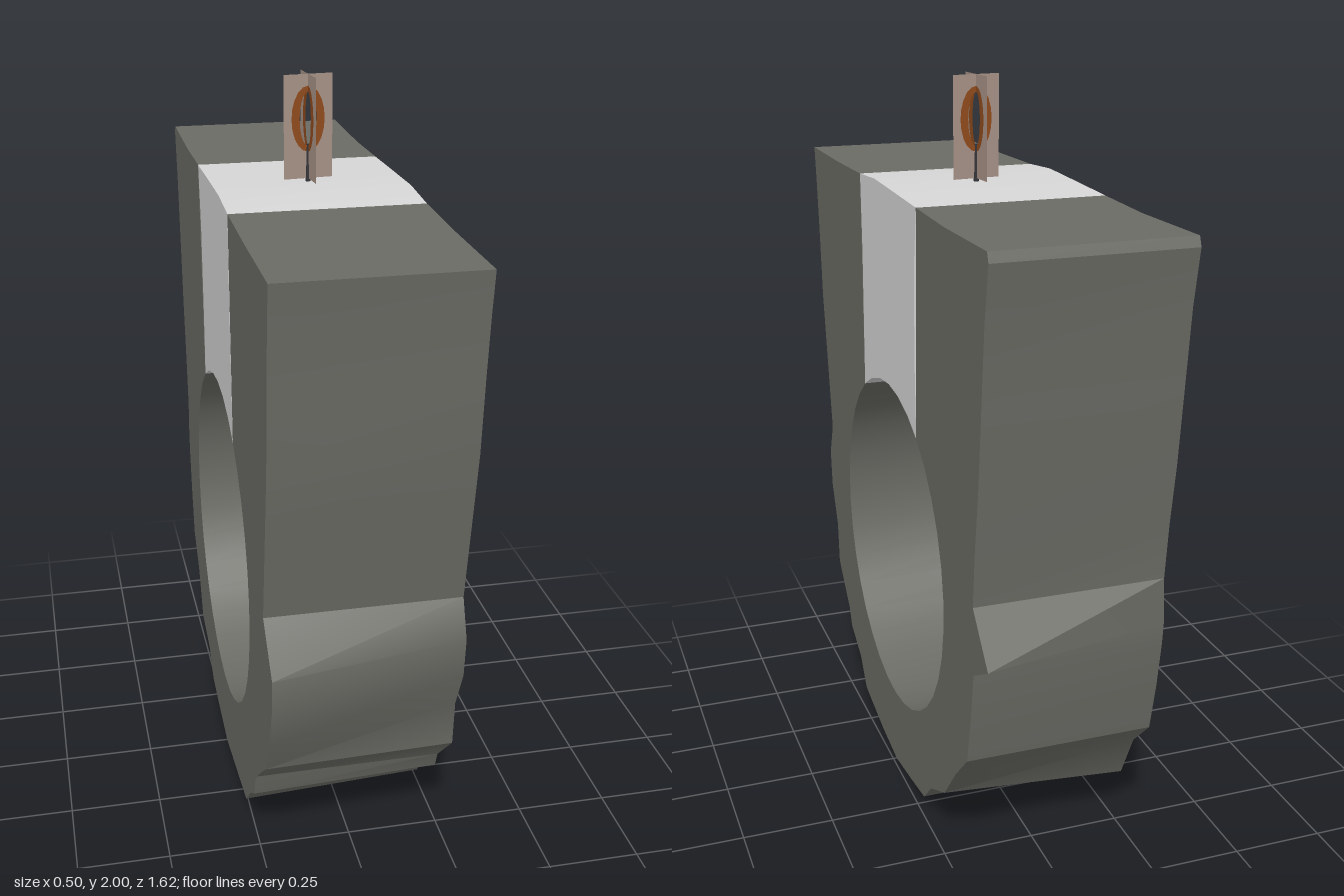
import * as THREE from 'three';
import { toCreasedNormals } from 'three/addons/utils/BufferGeometryUtils.js';

const stone = new THREE.MeshStandardMaterial({ color: 0x6b6b65 });
stone.name = 'dark stone';
const inlayMat = new THREE.MeshStandardMaterial({ color: 0xd6d6d6 });
inlayMat.name = 'pale stone';
const glow = new THREE.MeshStandardMaterial({ color: 0xa69186, side: THREE.DoubleSide });
glow.name = 'dusty glow';
const fire = new THREE.MeshStandardMaterial({ color: 0x8f4a1c, side: THREE.DoubleSide });
fire.name = 'burnt orange';
const soot = new THREE.MeshStandardMaterial({ color: 0x34343a });
soot.name = 'soot';

const X0 = -0.265, WIDTH = 0.505;
const HOLE_Y = 0.703, HOLE_R = 0.476;
const NOTCH = Math.acos(0.255 / HOLE_R); // angle where the inlay meets the hole

// Points along the finger hole
function holeArc(from, to, n) {
  return Array.from({ length: n + 1 }, (_, i) => {
    const a = from + (to - from) * i / n;
    return [HOLE_R * Math.cos(a), HOLE_Y + HOLE_R * Math.sin(a)];
  });
}

// Extrudes a side profile (u = -z, y) across x; far lists [u, y, newU, newY] for the -x end
function slab(name, points, material, far = []) {
  const shape = new THREE.Shape(points.map(([u, y]) => new THREE.Vector2(u, y)));
  const geo = new THREE.ExtrudeGeometry(shape, { depth: WIDTH, bevelEnabled: false });
  const p = geo.attributes.position;
  for (let i = 0; i < p.count; i++) {
    if (p.getZ(i) > WIDTH / 2) continue;
    const hit = far.find(f => Math.hypot(p.getX(i) - f[0], p.getY(i) - f[1]) < 1e-4);
    if (hit) p.setXY(i, hit[2], hit[3]);
  }
  geo.rotateY(Math.PI / 2).translate(X0, 0, 0);
  const mesh = new THREE.Mesh(toCreasedNormals(geo, 0.5), material);
  mesh.name = name;
  return mesh;
}

// Outer edge of the band, from the front top corner round the bottom to the back top corner
const outer = [
  [-0.25, 1.715], [-0.5, 1.71], [-0.8, 1.71], [-0.785, 1.6], [-0.77, 1.45], [-0.755, 1.25], [-0.73, 1.1],
  [-0.7, 0.92], [-0.685, 0.83], [-0.725, 0.73], [-0.715, 0.62], [-0.66, 0.5], [-0.65, 0.37],
  [-0.53, 0.25], [-0.51, 0.2], [-0.4, 0.14], [-0.34, 0.06], [-0.15, 0.02], [0, 0.0],
  [0.15, 0.02], [0.28, 0.04], [0.35, 0.11], [0.47, 0.17], [0.57, 0.29], [0.66, 0.38],
  [0.69, 0.52], [0.71, 0.65], [0.815, 0.71], [0.705, 0.83], [0.72, 0.98], [0.745, 1.15],
  [0.765, 1.35], [0.785, 1.55], [0.81, 1.69], [0.8, 1.715], [0.5, 1.71], [0.28, 1.715],
];
// The chips and the rear spike taper across the width
const far = [
  [-0.725, 0.73, -0.8, 0.72], [-0.715, 0.62, -0.79, 0.62], [-0.66, 0.5, -0.75, 0.5],
  [-0.65, 0.37, -0.69, 0.39], [-0.51, 0.2, -0.51, 0.18], [-0.4, 0.14, -0.44, 0.13],
  [-0.34, 0.06, -0.36, 0.05], [0.47, 0.17, 0.5, 0.15], [0.815, 0.71, 0.715, 0.71],
];

// One upright card: glowing border, flame ring and open centre
function flameCard(angle) {
  const card = new THREE.Group();
  card.name = 'flameCard';
  const oval = (C, rx, ry) => new C().absellipse(0, 1.885, rx, ry, 0, Math.PI * 2, false, 0);
  const border = new THREE.Shape([[-0.066, 1.73], [0.066, 1.73], [0.066, 2], [-0.066, 2]]
    .map(([x, y]) => new THREE.Vector2(x, y)));
  border.holes.push(oval(THREE.Path, 0.045, 0.085));
  const ring = oval(THREE.Shape, 0.045, 0.085);
  ring.holes.push(oval(THREE.Path, 0.023, 0.07));
  for (const [name, shape, mat] of [['flameBorder', border, glow], ['flameRing', ring, fire]]) {
    const mesh = new THREE.Mesh(new THREE.ShapeGeometry(shape, 10), mat);
    mesh.name = name;
    card.add(mesh);
  }
  card.rotation.y = angle;
  return card;
}

export function createModel() {
  const model = new THREE.Group();
  model.name = 'flameRing';

  // Dark band with a flared top and a gap for the inlay
  const inner = holeArc(NOTCH, -Math.PI - NOTCH, 28);
  inner.length -= 1;
  inner.push([-0.255, holeArc(NOTCH, 0, 1)[0][1]]);
  model.add(slab('band', [...outer, ...inner], stone, far));

  // Pale inlay closing the top of the band
  const arch = holeArc(Math.PI - NOTCH, NOTCH, 6);
  model.add(slab('inlay', [...arch, [0.25, 1.3], [0.255, 1.55], [0.28, 1.715], [0.1, 1.72], [-0.1, 1.725],
    [-0.25, 1.715], [-0.245, 1.5]], inlayMat));

  // Crossed flame cards on a wick
  const flame = new THREE.Group();
  flame.name = 'flame';
  flame.position.set(-0.01, 0, -0.01);
  flame.add(flameCard(0.1), flameCard(0.1 + Math.PI / 2));
  const wick = new THREE.Mesh(new THREE.CylinderGeometry(0.004, 0.008, 0.12, 6), soot);
  wick.name = 'wick';
  wick.position.y = 1.76;
  flame.add(wick);
  model.add(flame);

  return model;
}
